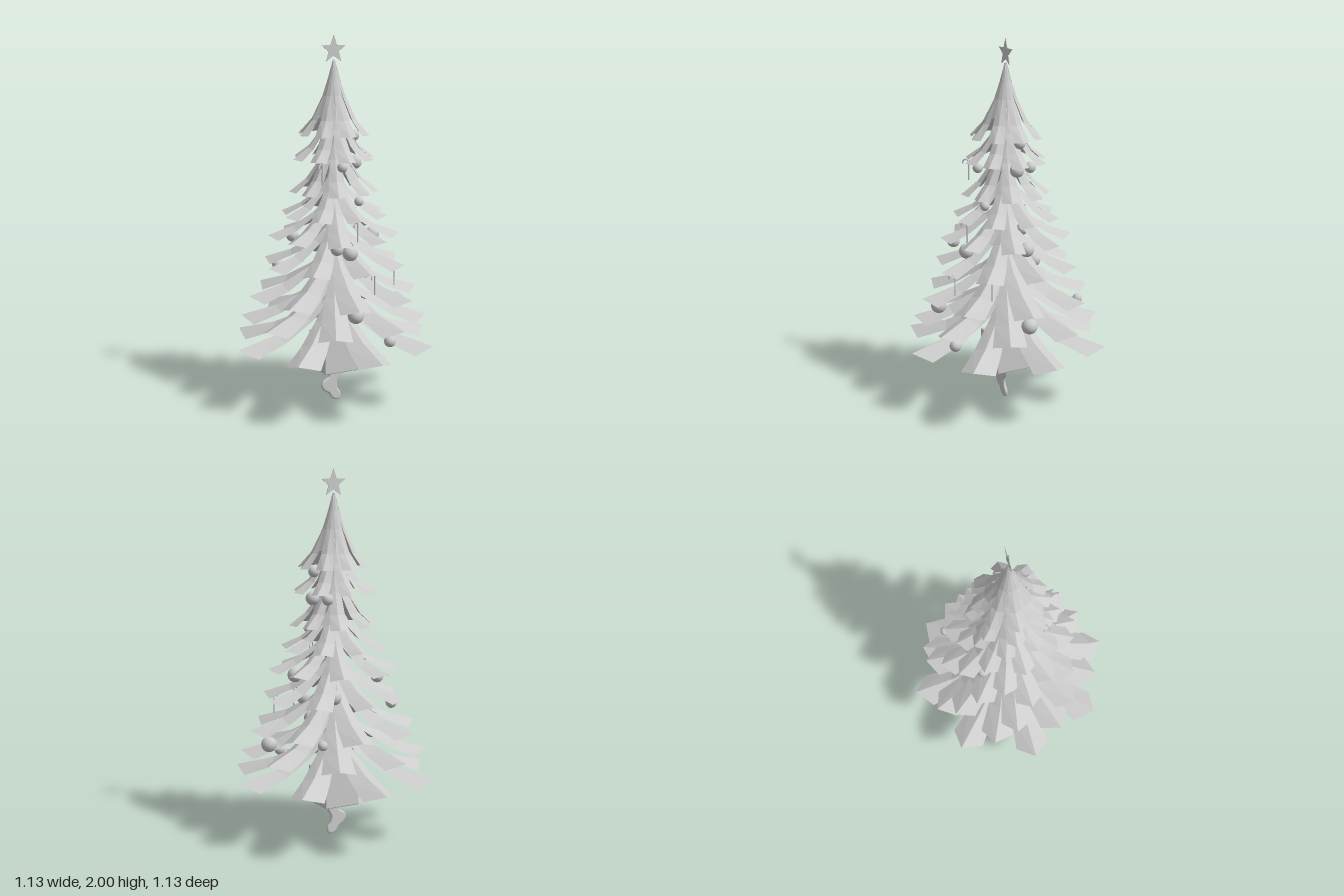
import * as THREE from 'three';
import { RoundedBoxGeometry } from 'three/addons/geometries/RoundedBoxGeometry.js';

const smooth = new THREE.MeshStandardMaterial({ color: 0xcccccc });
const faceted = new THREE.MeshStandardMaterial({ color: 0xcccccc, flatShading: true, side: THREE.DoubleSide });

function add(parent, name, geometry, material, x = 0, y = 0, z = 0) {
  const mesh = new THREE.Mesh(geometry, material);
  mesh.name = name;
  mesh.position.set(x, y, z);
  parent.add(mesh);
  return mesh;
}

// A drooping strip along +x, folded along its ridge, with a pointed tip
function branchGeometry(radius, tipY, rise, width, baseWidth) {
  const ridge = [0.02, 0.14, 0.3, 0.62, 1];
  const edge = [0.02, 0.13, 0.28, 0.57, 0.86];
  const height = (t) => tipY + rise * (0.45 * (1 - t) + 0.55 * Math.pow(1 - t, 3));
  const positions = [], index = [];
  ridge.forEach((t, i) => {
    const e = edge[i];
    const w = THREE.MathUtils.lerp(baseWidth, width, Math.pow(e / 0.86, 0.8));
    const edgeY = height(e) - w * 0.55;
    positions.push(radius * e, edgeY, -w, radius * t, height(t), 0, radius * e, edgeY, w);
    if (i === 0) return;
    for (let k = 0; k < 2; k++) {
      const a = (i - 1) * 3 + k, b = a + 1, c = a + 3, d = a + 4;
      index.push(a, b, c, b, d, c);
    }
  });
  const geometry = new THREE.BufferGeometry();
  geometry.setAttribute('position', new THREE.Float32BufferAttribute(positions, 3));
  geometry.setIndex(index);
  geometry.computeVertexNormals();
  return geometry;
}

function starGeometry() {
  const shape = new THREE.Shape();
  for (let i = 0; i < 10; i++) {
    const r = i % 2 ? 0.031 : 0.075;
    const a = Math.PI / 2 + (i * Math.PI) / 5;
    shape[i ? 'lineTo' : 'moveTo'](r * Math.cos(a), r * Math.sin(a));
  }
  return new THREE.ExtrudeGeometry(shape, { depth: 0.004, bevelEnabled: false }).translate(0, 0, -0.002);
}

// Straight stem with a crook bending towards -x
function caneGeometry() {
  const points = [new THREE.Vector3(0, -0.11, 0), new THREE.Vector3(0, -0.06, 0)];
  for (let i = 0; i <= 6; i++) {
    const a = (i / 6) * Math.PI;
    points.push(new THREE.Vector3(-0.018 + 0.018 * Math.cos(a), -0.018 + 0.018 * Math.sin(a), 0));
  }
  points.push(new THREE.Vector3(-0.036, -0.025, 0));
  return new THREE.TubeGeometry(new THREE.CatmullRomCurve3(points), 32, 0.004, 8);
}

function stockingGeometry() {
  const outline = [
    [-0.036, 0.175], [-0.034, 0.14], [-0.07, 0.115], [-0.078, 0.09], [-0.062, 0.066], [-0.035, 0.048],
    [-0.016, 0.02], [0.008, 0.009], [0.028, 0.017], [0.03, 0.042], [0.012, 0.07], [0.008, 0.105],
    [0.025, 0.14], [0.034, 0.175],
  ].map(([x, y]) => new THREE.Vector2(x, y));
  const shape = new THREE.Shape();
  shape.moveTo(outline[0].x, outline[0].y);
  shape.splineThru(outline.slice(1));
  return new THREE.ExtrudeGeometry(shape, {
    depth: 0.004, bevelThickness: 0.008, bevelSize: 0.012, bevelOffset: -0.008, bevelSegments: 4, curveSegments: 40,
  });
}

export function createModel() {
  const tree = new THREE.Group();
  tree.name = 'decoratedTree';

  // Pot and trunk
  add(tree, 'pot', new RoundedBoxGeometry(0.205, 0.205, 0.205, 2, 0.006), smooth, 0, 0.287, 0);
  add(tree, 'trunk', new THREE.CylinderGeometry(0.012, 0.035, 1.35, 8), faceted, 0, 1.06, 0);

  // Branch tiers: turn in degrees, then tip radius, tip height, rise to the trunk, half width, half width at the trunk
  const tiers = [
    [0, 0.565, 0.36, 0.28, 0.095, 0.025],
    [25, 0.505, 0.49, 0.28, 0.09, 0.025],
    [10, 0.472, 0.625, 0.28, 0.085, 0.025],
    [42, 0.395, 0.79, 0.26, 0.075, 0.022],
    [20, 0.355, 0.94, 0.25, 0.065, 0.02],
    [42, 0.293, 1.055, 0.26, 0.058, 0.018],
    [20, 0.24, 1.175, 0.36, 0.05, 0.016],
    [5, 0.23, 1.355, 0.31, 0.048, 0.016],
    [0, 0.2, 1.48, 0.41, 0.046, 0.004],
  ];
  tiers.forEach(([turn, ...spec], tier) => {
    const group = new THREE.Group();
    group.name = `branchTier${tier + 1}`;
    group.rotation.y = -THREE.MathUtils.degToRad(turn);
    const geometry = branchGeometry(...spec);
    for (let i = 0; i < 8; i++) add(group, 'branch', geometry, faceted).rotation.y = (i * Math.PI) / 4;
    tree.add(group);
  });

  // Star on the tip
  add(tree, 'star', starGeometry(), faceted, 0, 1.925, 0);

  // Hanging balls: x, y, z, radius
  const balls = [
    [0.127, 1.466, -0.016, 0.03], [0.127, 1.323, 0, 0.037], [-0.026, 1.323, 0.153, 0.027],
    [0.09, 1.323, -0.1, 0.03], [0.069, 1.137, 0.16, 0.025], [-0.11, 0.915, 0.26, 0.034],
    [-0.16, 0.91, -0.19, 0.034], [-0.016, 0.878, 0.227, 0.041], [0.235, 0.92, 0, 0.039],
    [0.07, 0.804, -0.132, 0.041], [0.1, 0.757, 0.153, 0.041], [-0.25, 0.757, -0.19, 0.03],
    [-0.06, 0.582, 0.376, 0.042], [0.365, 0.545, 0.053, 0.042], [0.235, 0.6, -0.315, 0.026],
    [0.143, 0.418, 0.376, 0.031],
  ];
  for (const [x, y, z, r] of balls) add(tree, 'ball', new THREE.SphereGeometry(r, 24, 16), smooth, x, y, z);

  // Hooked canes
  const cane = caneGeometry();
  const canes = [[-0.14, 1.345, 0.15], [0.02, 1.045, 0.24], [0.07, 0.78, 0.34], [0.255, 0.785, 0.215]];
  for (const [x, y, z] of canes) add(tree, 'cane', cane, smooth, x, y, z).rotation.y = 0.6;

  // Stocking under the pot with its cuff
  add(tree, 'stocking', stockingGeometry(), smooth, 0, 0, 0.01);
  add(tree, 'stockingCuff', new RoundedBoxGeometry(0.08, 0.03, 0.036, 3, 0.012), smooth, 0, 0.18, 0.012);
  return tree;
}
